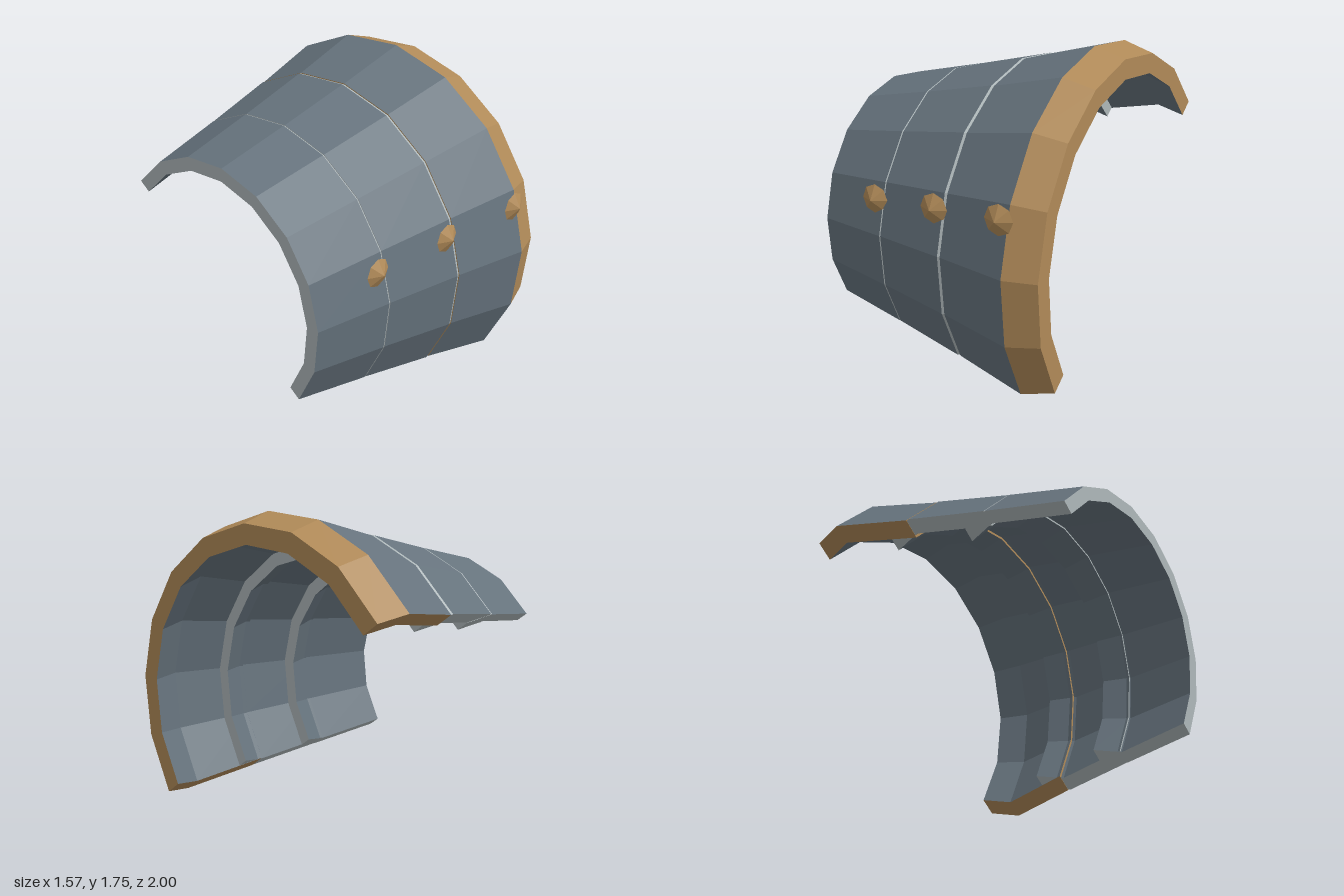
import * as THREE from 'three';

// The guard is a half tube around an axis parallel to x
const AXIS_Y = 0.652, AXIS_Z = -0.105;
const START = -36, SWEEP = 180, FACETS = 9;

const material = (name, color) => {
  const m = new THREE.MeshStandardMaterial({ color, flatShading: true });
  m.name = name;
  return m;
};

// Point at station x, radius r and angle a (degrees) around the axis
function onArc([x, r], a) {
  const t = THREE.MathUtils.degToRad(a);
  return [x, AXIS_Y + r * Math.sin(t), AXIS_Z + r * Math.cos(t)];
}

// Curved lame: outer wall from (x0, r0) to (x1, r1), then a lip turned in to (x2, r2)
function lameGeometry({ x0, r0, x1, r1, x2, r2, thick, inset = 0 }) {
  const section = [
    [x0, r0], [x1, r1], [x2, r2],
    [x2, r2 - thick], [x1, r1 - thick], [x0, r0 - thick],
  ];
  const [A, B, C, D, E, F] = section;
  const angles = Array.from({ length: FACETS + 1 },
    (_, i) => START + inset + (SWEEP - 2 * inset) * i / FACETS);
  const faces = [[], []]; // plate faces, trim faces
  const quad = (slot, a, b, c, d) => faces[slot].push(...a, ...b, ...c, ...a, ...c, ...d);

  // Walls
  const slots = [0, 1, 1, 0, 0, 1];
  section.forEach((p, k) => {
    const q = section[(k + 1) % section.length];
    for (let i = 0; i < FACETS; i++) {
      const a = angles[i], b = angles[i + 1];
      quad(slots[k], onArc(p, a), onArc(q, a), onArc(q, b), onArc(p, b));
    }
  });

  // Straight cut edges
  for (const loop of [[A, B, E, F], [B, C, D, E]]) {
    quad(1, ...loop.map(p => onArc(p, angles[FACETS])));
    quad(1, ...loop.map(p => onArc(p, angles[0])).reverse());
  }

  const g = new THREE.BufferGeometry();
  g.setAttribute('position', new THREE.Float32BufferAttribute(faces.flat(), 3));
  g.addGroup(0, faces[0].length / 3, 0);
  g.addGroup(faces[0].length / 3, faces[1].length / 3, 1);
  g.computeVertexNormals();
  return g;
}

export function createModel() {
  const slate = material('slate plate', 0x66737d);
  const steel = material('pale steel edge', 0xaeb7b9);
  const brass = material('brass trim', 0xb08a58);
  const group = new THREE.Group();
  group.name = 'armGuard';

  // Three overlapping lames, each lip tucked under the next
  const lames = [
    ['narrowLame', steel, { x0: -0.785, r0: 0.777, x1: -0.328, r1: 0.878, x2: -0.16, r2: 0.822, thick: 0.08 }],
    ['middleLame', steel, { x0: -0.32, r0: 0.879, x1: 0.137, r1: 0.988, x2: 0.31, r2: 0.934, thick: 0.094, inset: 0.1 }],
    ['wideLame', brass, { x0: 0.154, r0: 0.988, x1: 0.6, r1: 1.106, x2: 0.782, r2: 1.049, thick: 0.114 }],
  ];
  for (const [name, trim, shape] of lames) {
    const mesh = new THREE.Mesh(lameGeometry(shape), [slate, trim]);
    mesh.name = name;
    group.add(mesh);
  }

  // Faceted studs along the front
  const studShape = new THREE.ConeGeometry(0.085, 0.045, 8);
  studShape.rotateX(Math.PI / 2);
  [[-0.38, 0.912, 0.75], [0.085, 0.968, 0.85], [0.555, 1.025, 0.965]].forEach(([x, y, z], i) => {
    const stud = new THREE.Mesh(studShape, brass);
    stud.name = `stud${i + 1}`;
    stud.position.set(x, y, z);
    group.add(stud);
  });

  return group;
}
